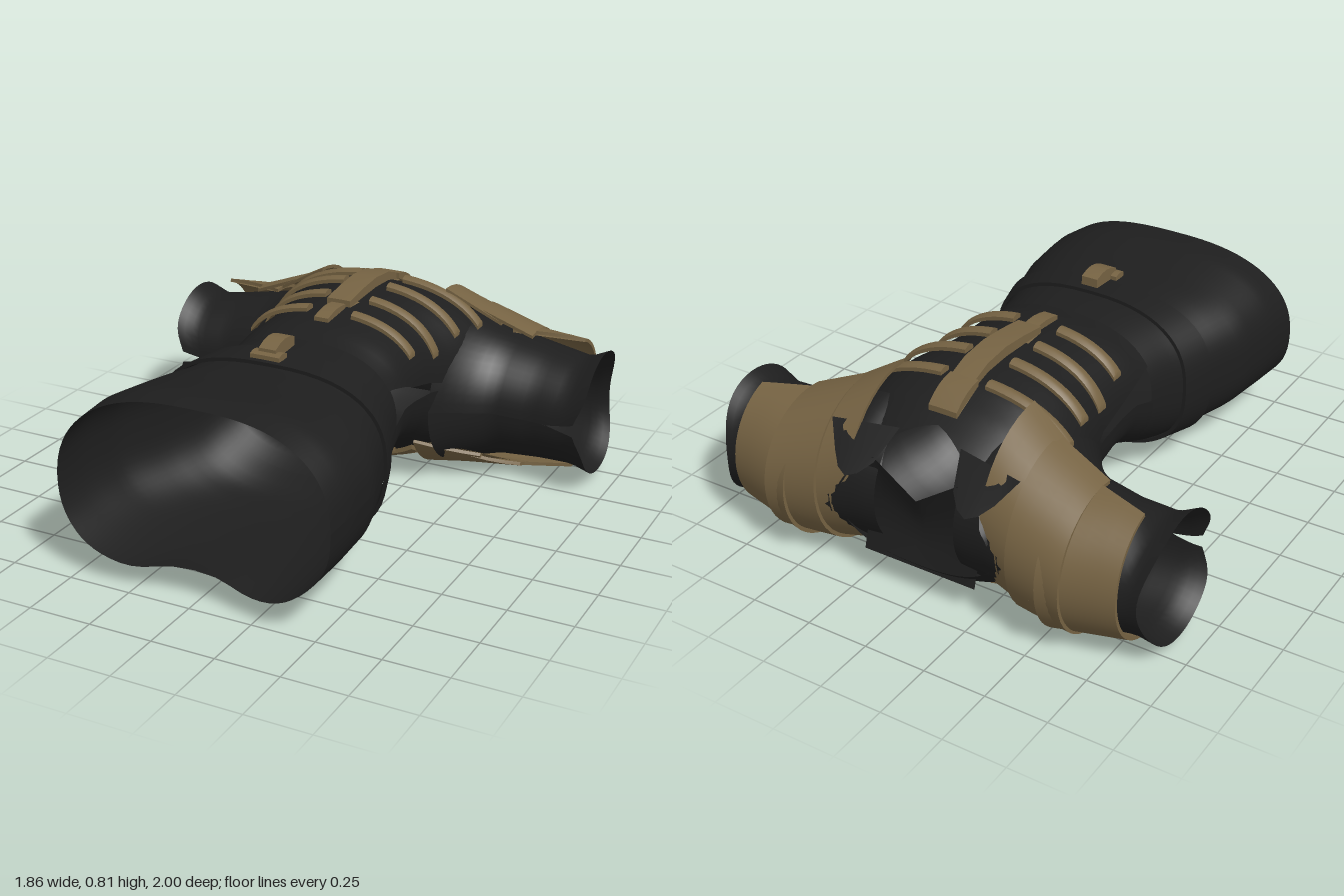
import * as THREE from 'three';
import { toCreasedNormals } from 'three/addons/utils/BufferGeometryUtils.js';

const { sin, cos, abs, sign, pow, exp, PI } = Math;
const rad = PI / 180;
const lerp = (a, b, t) => a + (b - a) * t;
const clamp = (t) => Math.min(1, Math.max(0, t));

const cloth = new THREE.MeshStandardMaterial({ color: 0x1e1e1e, side: THREE.DoubleSide });
cloth.name = 'black cloth';
const bronze = new THREE.MeshStandardMaterial({ color: 0x766343, side: THREE.DoubleSide });
bronze.name = 'bronze armour';

// Reads a row-interpolated cross-section from a table keyed by its first column
function sample(table, k) {
  const up = table[1][0] > table[0][0];
  let i = 0;
  while (i < table.length - 2 && (up ? k > table[i + 1][0] : k < table[i + 1][0])) i++;
  const a = table[i], b = table[i + 1];
  const t = clamp((k - a[0]) / (b[0] - a[0]));
  return a.map((v, j) => lerp(v, b[j], t));
}

// Surface grid from a rule fn(u, v) -> [x, y, z]
function grid(nu, nv, fn) {
  const pos = [], idx = [];
  for (let i = 0; i <= nu; i++) for (let j = 0; j <= nv; j++) pos.push(...fn(i / nu, j / nv));
  for (let i = 0; i < nu; i++) for (let j = 0; j < nv; j++) {
    const a = i * (nv + 1) + j, b = a + nv + 1;
    idx.push(a, b, a + 1, b, b + 1, a + 1);
  }
  const g = new THREE.BufferGeometry();
  g.setAttribute('position', new THREE.Float32BufferAttribute(pos, 3));
  g.setIndex(idx);
  g.computeVertexNormals();
  return g;
}

// Closed thick plate: fn(u, v, h) with h = 0 underside, 1 upper side
function slab(nu, nv, fn) {
  const loop = [[0, 0]];
  for (let j = 0; j <= nv; j++) loop.push([j / nv, 1]);
  loop.push([1, 0], [0, 0]);
  const g = grid(nu + 2, loop.length - 1, (u, v) => {
    const i = Math.round(u * (nu + 2)), [pv, h] = loop[Math.round(v * (loop.length - 1))];
    const end = i === 0 || i === nu + 2;
    return fn(clamp((i - 1) / nu), pv, end ? 0 : h);
  });
  return toCreasedNormals(g, 0.7);
}

// Body sections: z, half width, front height, back height
const body = [
  [1, 0.55, 0.72, 0.065], [0.8, 0.55, 0.735, 0.075], [0.6, 0.53, 0.71, 0.08], [0.4, 0.465, 0.7, 0.08],
  [0.25, 0.415, 0.71, 0.09], [0.1, 0.38, 0.71, 0.15], [0, 0.37, 0.735, 0.2], [-0.1, 0.365, 0.745, 0.19],
  [-0.25, 0.37, 0.755, 0.14], [-0.35, 0.395, 0.76, 0.09], [-0.45, 0.43, 0.765, 0.06], [-0.58, 0.47, 0.75, 0.04],
  [-0.7, 0.47, 0.7, 0.03], [-0.8, 0.42, 0.64, 0.05], [-0.9, 0.36, 0.56, 0.12], [-0.97, 0.32, 0.48, 0.2],
];
// Point on the body at an angle; the skirt end is squarer
function bodyPoint(a, z, off = 0) {
  const [, w, top, bot] = sample(body, z);
  const c = cos(a), s = sin(a), p = lerp(0.83, 0.74, clamp((z - 0.1) / 0.4));
  return [(w + off) * sign(c) * pow(abs(c), p),
    (top + bot) / 2 + ((top - bot) / 2 + off) * sign(s) * pow(abs(s), p), z];
}
// Height of the body surface at a given x; side is 1 on the front, -1 on the back
function bodyY(x, z, side, off) {
  const [, w, top, bot] = sample(body, z);
  const k = pow(1 - pow(clamp(abs(x) / (w + 0.02)), 2.4), 1 / 2.4);
  return (top + bot) / 2 + side * ((top - bot) / 2 * k + off);
}

// Side openings in degrees, front panel and back panel: slit, then armhole
const openings = [[0.1, 25, 0], [0, 13, 1], [-0.1, 6, 2], [-0.3, 2, 1], [-0.45, 1, 0],
  [-0.6, 34, 34], [-0.8, 30, 30], [-0.97, 8, 8]];

// Sleeve sections: x, top, bottom, z of shoulder side, z of armpit side
const sleeve = [[0.36, 0.65, 0.04, -0.96, -0.24], [0.4, 0.62, 0.04, -0.965, -0.31], [0.47, 0.58, 0.04, -0.965, -0.39],
  [0.54, 0.56, 0.05, -0.96, -0.44], [0.7, 0.53, 0.06, -0.94, -0.46], [0.85, 0.51, 0.07, -0.91, -0.45],
  [0.93, 0.55, 0.045, -0.915, -0.43]];
const shoulder = [[0.15, 0.64, 0.06, -0.94, -0.3], [0.28, 0.68, 0.04, -0.95, -0.26], [0.37, 0.65, 0.04, -0.96, -0.24]];
function ring(table, x, a, off = 0) {
  const [, top, bot, zb, zf] = sample(table, x);
  return [x, (top + bot) / 2 + ((top - bot) / 2 + off) * sin(a), (zb + zf) / 2 - ((zf - zb) / 2 + off) * cos(a)];
}

export function createModel() {
  const model = new THREE.Group();
  const add = (name, geo, mat) => {
    const m = new THREE.Mesh(geo, mat);
    m.name = name;
    model.add(m);
  };
  const flip = (s, p) => [p[0] * s, p[1], p[2]];

  // Skirt with an uneven hem, slightly narrower at the front and tucked up behind
  add('skirt', grid(20, 72, (u, v) => {
    const a = v * 2 * PI, deg = a / rad;
    const bump = (at, width) => exp(-pow((deg - at) / width, 2));
    const hem = 0.955 - 0.04 * sin(a) * (sin(a) > 0 ? 1 : 0.2) + 0.04 * bump(310, 18)
      + 0.01 * bump(228, 18) - 0.03 * bump(270, 14);
    const p = bodyPoint(a, lerp(0.1, hem, u));
    const k = pow(u, 3);
    p[0] = p[0] * (1 - 0.08 * k * Math.max(0, sin(a))) - 0.015 * k;
    p[1] += 0.05 * pow(u, 6) * bump(270, 14);
    return p;
  }), cloth);

  // Front and back panels of the upper body
  for (const side of [1, -1]) {
    add(side > 0 ? 'frontPanel' : 'backPanel', grid(30, 32, (u, v) => {
      const across = abs(v - 0.5) * 2;
      const end = side > 0 ? -0.96 + 0.19 * Math.max(0, 1 - across * 1.3) : -0.93;
      const z = lerp(0.11, end, u);
      const g = sample(openings, z)[side > 0 ? 1 : 2] * rad;
      return bodyPoint(side * lerp(g, PI - g, v), z);
    }), cloth);
  }

  // Two collar lobes behind the neck, meeting in a V
  add('neckFlap', grid(4, 16, (u, v) => {
    const x = lerp(-0.24, 0.24, v);
    return [x, lerp(0.13, Math.min(0.42 + 0.7 * abs(x), 0.74 - abs(x)), u), -0.92 + 0.04 * sin(u * PI)];
  }), cloth);

  // Belt and buckle
  add('belt', slab(56, 1, (u, v, h) => bodyPoint(u * 2 * PI, lerp(0.27, 0.4, v), 0.004 + 0.014 * h)), cloth);
  const block = (name, x0, x1, z0, z1, side, off, thick) =>
    add(name, slab(6, 4, (u, v, h) => {
      const x = lerp(x0, x1, u), z = lerp(z0, z1, v);
      return [x, bodyY(x, z, side, off + h * thick * (0.65 + 0.35 * sin(v * PI))), z];
    }), bronze);
  block('buckleBase', -0.06, 0.06, 0.37, 0.43, 1, 0.04, 0.025);
  block('buckle', -0.035, 0.035, 0.265, 0.41, 1, 0.04, 0.055);

  // Breastbone plates
  block('breastboneTop', -0.06, 0.06, -0.74, -0.6, 1, 0.01, 0.035);
  block('breastbone', -0.05, 0.05, -0.64, -0.17, 1, 0.01, 0.04);
  block('breastboneTip', -0.03, 0.03, -0.17, -0.02, 1, 0.005, 0.025);

  // Spine plates down the back
  for (const z of [0.15, 0.03, -0.09, -0.21, -0.33, -0.45])
    block('spinePlate', -0.05, 0.05, z - 0.04, z + 0.04, -1, 0.008, 0.025);

  for (const s of [1, -1]) {
    const label = s > 0 ? 'left' : 'right';

    // Ribs: z, outer x
    for (const [z, reach] of [[-0.585, 0.43], [-0.43, 0.395], [-0.27, 0.375], [-0.11, 0.345]])
      add(label + 'Rib', slab(14, 4, (u, v, h) => {
        const x = lerp(0.095, reach, sin(u * PI / 2)), zz = z + (v - 0.5) * 0.052;
        return [s * x, bodyY(x, z, 1, 0.004 + 0.026 * h * (0.6 + 0.4 * sin(v * PI))), zz];
      }), bronze);

    // Back ribs
    for (const [z, reach] of [[0.03, 0.14], [-0.09, 0.18], [-0.21, 0.22], [-0.33, 0.27], [-0.45, 0.3]])
      add(label + 'BackRib', slab(8, 3, (u, v, h) => {
        const x = lerp(0.07, reach, u), zz = z + (v - 0.5) * 0.075;
        return [s * x, bodyY(x, zz, -1, 0.006 + 0.02 * h), zz];
      }), bronze);

    // Shoulder blade plate
    add(label + 'BladePlate', slab(6, 8, (u, v, h) => {
      const x = lerp(0.2, 0.34, u), z = lerp(-0.76, -0.5, v);
      return [s * x, bodyY(x, z, -1, 0.004 + 0.014 * h), z];
    }), bronze);

    // Sleeve, slit open at the cuff on the armpit side
    add(label + 'Sleeve', grid(18, 48, (u, v) => {
      const x = lerp(0.36, 0.93, u);
      const gap = Math.max(0, x - 0.8) * 0.8;
      const a = lerp(-PI + gap, PI - gap, v), c = cos(a);
      const cuff = (c > 0 ? 0.045 * pow(c, 4) : 0.045 * pow(c, 16)) * u * u;
      return flip(s, ring(sleeve, x - cuff, a));
    }), cloth);

    // Shoulder cloth between neck and sleeve
    add(label + 'Shoulder', grid(6, 20, (u, v) =>
      flip(s, ring(shoulder, lerp(0.17, 0.37, u), lerp(-75, 75, v) * rad))), cloth);

    // Pointed lapel beside the neck
    add(label + 'Lapel', grid(1, 4, (u, v) => flip(s, u
      ? [lerp(0.13, 0.4, v), 0.63 - 0.02 * v, lerp(-0.82, -0.86, v)]
      : [lerp(0.17, 0.34, v), 0.53 - 0.05 * sin(v * PI), -0.93 - 0.06 * sin(v * PI)])), cloth);

    // Overlapping shoulder plates: two end sections, then start and end angles at each end
    const plates = [
      ['Inner', [[0.28, 0.735, 0.03, -0.93, -0.24], [0.5, 0.61, 0.025, -0.975, -0.38]], -148, 91, -135, 98],
      ['Middle', [[0.41, 0.66, 0.02, -0.97, -0.34], [0.63, 0.57, 0.025, -0.985, -0.42]], -142, 96, -115, 100],
      ['Outer', [[0.54, 0.575, 0.015, -0.99, -0.4], [0.82, 0.565, 0.05, -0.925, -0.43]], -106, 95, -92, 74],
    ];
    for (const [name, ends, a0, a1, b0, b1] of plates)
      add(label + name + 'ShoulderPlate', slab(28, 4, (u, v, h) => {
        const x = lerp(ends[0][0], ends[1][0], v);
        const a = lerp(lerp(a0, b0, v), lerp(a1, b1, v), u) * rad;
        return flip(s, ring(ends, x, a, 0.014 * h));
      }), bronze);
  }
  return model;
}
